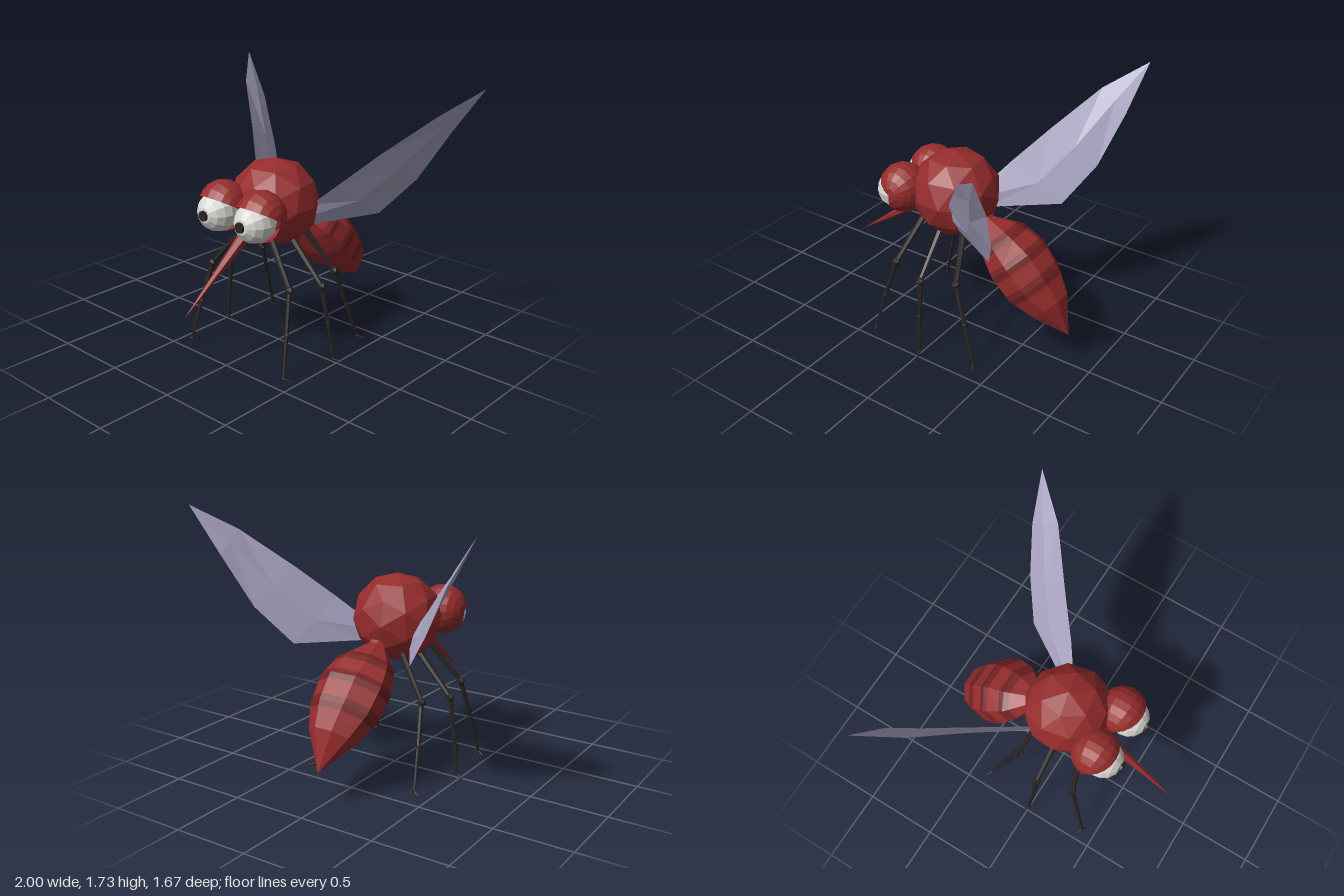
import * as THREE from 'three';

const paint = (name, color, side = THREE.FrontSide) => {
  const m = new THREE.MeshStandardMaterial({ color, flatShading: true, side });
  m.name = name;
  return m;
};
const V = (x, y, z) => new THREE.Vector3(x, y, z);

// Joins closed cross-sections; pick(ring, side) chooses a material slot
function loft(rings, pick = () => 0) {
  const tris = [[], []];
  for (let i = 0; i < rings.length - 1; i++) {
    const n = rings[i].length;
    for (let k = 0; k < n; k++) {
      const a = rings[i][k], b = rings[i][(k + 1) % n];
      const c = rings[i + 1][(k + 1) % n], d = rings[i + 1][k];
      tris[pick(i, k)].push(a, b, c, a, c, d);
    }
  }
  const g = new THREE.BufferGeometry().setFromPoints([...tris[0], ...tris[1]]);
  g.addGroup(0, tris[0].length, 0);
  g.addGroup(tris[0].length, tris[1].length, 1);
  g.computeVertexNormals();
  return g;
}

export function createModel() {
  const red = paint('body red', 0x962c2c);
  const lidRed = paint('eyelid red', 0x962c2c, THREE.DoubleSide);
  const darkRed = paint('stripe dark red', 0x742222);
  const black = paint('leg black', 0x2a2222);
  const white = paint('eye white', 0xd8d8d4);
  const lavender = paint('wing lavender', 0xaaa4c2, THREE.DoubleSide);

  const model = new THREE.Group();
  const add = (parent, name, geometry, material, pos) => {
    const m = new THREE.Mesh(geometry, material);
    m.name = name;
    if (pos) m.position.copy(pos);
    parent.add(m);
    return m;
  };
  // Tapered rod from a to b
  const rod = (parent, name, a, b, ra, rb, material, sides = 6) => {
    const m = add(parent, name, new THREE.CylinderGeometry(rb, ra, a.distanceTo(b), sides), material,
      a.clone().lerp(b, 0.5));
    m.quaternion.setFromUnitVectors(V(0, 1, 0), b.clone().sub(a).normalize());
    return m;
  };

  // Faceted thorax and piercing mouthpart
  const thorax = add(model, 'thorax', new THREE.IcosahedronGeometry(0.29, 1), red, V(0, 1, 0.035));
  thorax.rotation.y = 0.2;
  rod(model, 'proboscis', V(0, 0.92, 0.21), V(0, 0.46, 0.83), 0.05, 0.001, red);

  // Abdomen stations: y, z, half width, half height
  const stations = [
    [0.93, -0.1, 0.07, 0.06], [0.855, -0.2, 0.06, 0.055], [0.77, -0.325, 0.19, 0.125],
    [0.66, -0.445, 0.23, 0.174], [0.525, -0.57, 0.215, 0.167], [0.41, -0.69, 0.15, 0.12],
    [0.23, -0.835, 0.001, 0.001],
  ];
  const mix = (a, b, t) => a.map((v, i) => v + (b[i] - v) * t);
  const rows = [], striped = [];
  stations.forEach((s, i) => {
    const stripe = i >= 2 && i <= 4;
    if (stripe) {
      striped.push(rows.length, rows.length + 1);
      rows.push(mix(s, stations[i - 1], 0.22), s, mix(s, stations[i + 1], 0.22));
    } else rows.push(s);
  });
  const sides = 8;
  const rings = rows.map(([y, z, w, h]) => Array.from({ length: sides }, (_, k) => {
    const a = ((k + 0.5) / sides) * Math.PI * 2, grow = 1.06;
    const u = Math.sin(a) * h * grow;
    return V(Math.cos(a) * w * grow, y + 0.69 * u, z - 0.72 * u);
  }).reverse());
  // Stripes cross the back and flanks only
  const abdomen = loft(rings, (i, k) => {
    const across = rings[i][k].clone().add(rings[i][(k + 1) % sides]).multiplyScalar(0.5);
    const up = (across.y - rows[i][0]) * 0.69 - (across.z - rows[i][1]) * 0.72;
    return striped.includes(i) && up > -0.01 ? 1 : 0;
  });
  add(model, 'abdomen', abdomen, [red, darkRed]);

  // Leg joints: hip, knee, shin joint, ankle, toe
  const legs = {
    frontLeg: [V(0.1, 0.85, 0.2), V(0.34, 0.555, 0.275), V(0.38, 0.29, 0.345), V(0.415, 0.025, 0.41), V(0.46, 0.01, 0.385)],
    middleLeg: [V(0.12, 0.83, 0.045), V(0.4, 0.525, 0.035), V(0.44, 0.28, 0.02), V(0.48, 0.025, 0), V(0.525, 0.01, -0.02)],
    rearLeg: [V(0.08, 0.87, -0.09), V(0.32, 0.54, -0.185), V(0.355, 0.285, -0.275), V(0.385, 0.025, -0.365), V(0.43, 0.01, -0.39)],
  };
  const radii = [0.024, 0.016, 0.013, 0.009, 0.005];
  const joints = [0, 0.03, 0.017, 0.014];

  // Wing edges from root to tip
  const lead = [V(0.22, 1, -0.065), V(0.55, 1.335, -0.33), V(0.81, 1.575, -0.54), V(1, 1.74, -0.77)];
  const trail = [V(0.17, 0.845, -0.09), V(0.43, 0.88, -0.5), V(0.62, 1.12, -0.64), V(0.8, 1.44, -0.725), V(1, 1.74, -0.77)];
  lead.splice(1, 0, V(0.35, 1.13, -0.16));

  for (const s of [1, -1]) {
    const side = s > 0 ? 'left' : 'right';
    const flip = p => V(p.x * s, p.y, p.z);

    // Eyeball, pupil and the hood open toward the lower front
    const eye = new THREE.Group();
    eye.name = side + 'Eye';
    model.add(eye);
    add(eye, 'eyeball', new THREE.SphereGeometry(0.132, 12, 8), white, V(s * 0.16, 0.985, 0.385)).rotation.x = Math.PI / 2;
    add(eye, 'pupil', new THREE.CylinderGeometry(0.033, 0.035, 0.03, 10), black, V(s * 0.157, 0.985, 0.511)).rotation.x = Math.PI / 2;
    const arc = THREE.MathUtils.degToRad(247), start = THREE.MathUtils.degToRad(30);
    const hood = new THREE.SphereGeometry(0.163, 12, 10, 0, arc);
    // Sphere azimuth 0 starts at -x; turn its pole onto the x axis
    hood.rotateY(Math.PI).rotateZ(-Math.PI / 2).rotateX(-Math.PI / 2);
    hood.computeBoundingBox();
    const p = hood.attributes.position;
    const rowsN = 11, cols = 13;
    for (let i = 0; i < rowsN; i++) for (let j = 0; j < cols; j++) {
      const th = (i / (rowsN - 1)) * Math.PI, a = start + (j / (cols - 1)) * arc;
      p.setXYZ(i * cols + j, 0.16 * Math.cos(th), 0.165 * Math.sin(th) * Math.sin(a), 0.16 * Math.sin(th) * Math.cos(a));
    }
    hood.computeVertexNormals();
    add(eye, 'eyelid', hood, lidRed, V(s * 0.162, 1.012, 0.335));

    // Jointed legs
    for (const [name, pts] of Object.entries(legs)) {
      const leg = new THREE.Group();
      leg.name = side + name[0].toUpperCase() + name.slice(1);
      model.add(leg);
      const q = pts.map(flip);
      for (let i = 0; i < 4; i++) {
        rod(leg, 'segment', q[i], q[i + 1], radii[i], radii[i + 1], black);
        if (joints[i]) add(leg, 'joint', new THREE.IcosahedronGeometry(joints[i], 0), black, q[i]);
      }
    }

    // Thin wing with a raised middle vein
    const sections = lead.map((l, i) => {
      const t = trail[i], mid = l.clone().lerp(t, 0.5);
      const n = V(0.77, -0.1, 0.63).multiplyScalar(i === 4 ? 0 : 0.014);
      return [l, mid.clone().add(n), t, mid.clone().sub(n)].map(flip);
    });
    add(model, side + 'Wing', loft(sections), [lavender, lavender]);
  }
  return model;
}
